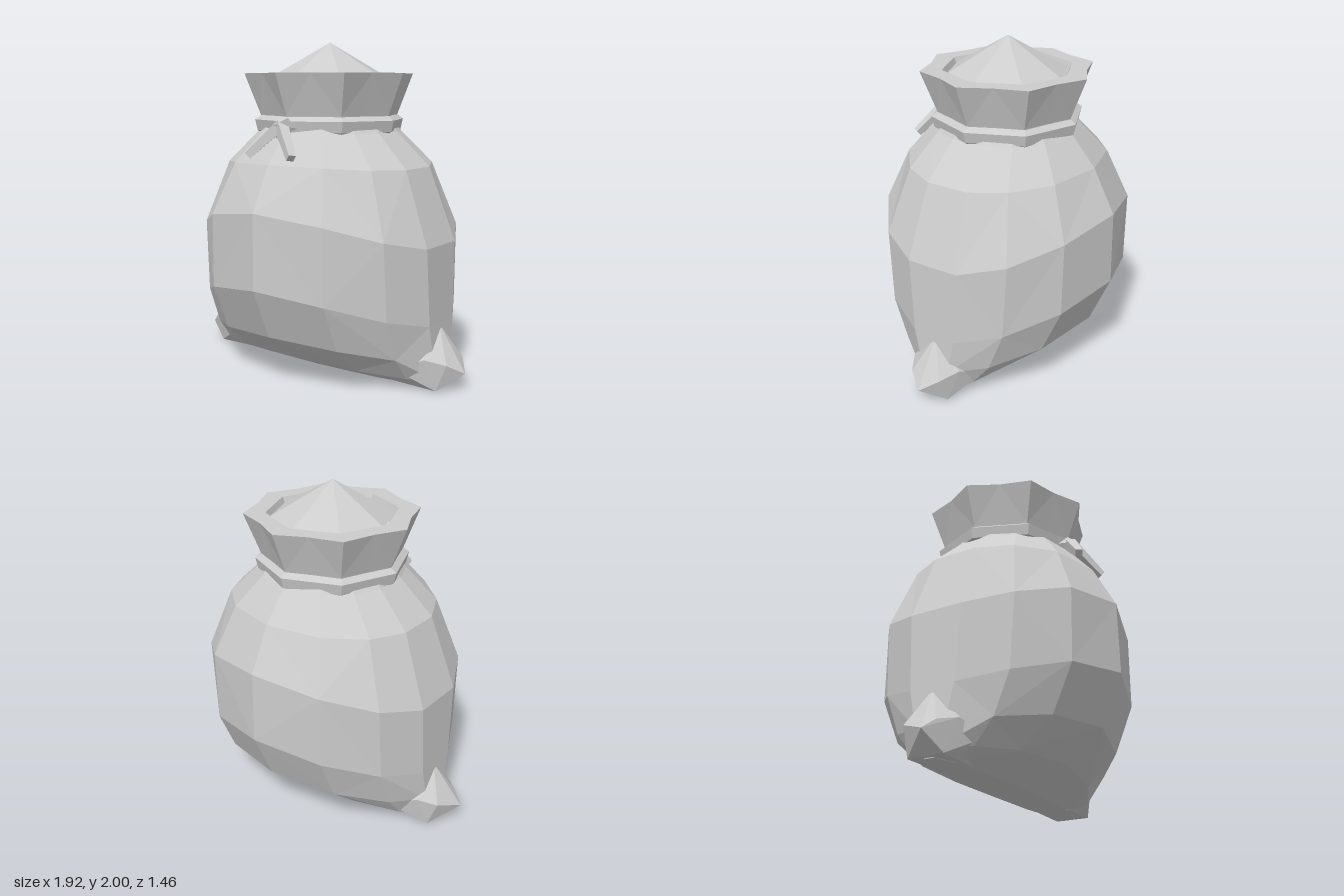
import * as THREE from 'three';
import { ConvexGeometry } from 'three/addons/geometries/ConvexGeometry.js';

const cloth = new THREE.MeshStandardMaterial({ color: 0xcccccc, flatShading: true });
cloth.name = 'grey cloth';

// Skin of triangles over stacked rings. sag lowers the sides, pinch above 1
// narrows the ring towards its sides, dent scales every second point.
function loft(rings, degrees) {
  const n = degrees.length;
  const point = ({ y, rx, rz = rx, sag = 0, pinch = 1, dent = 1 }, i) => {
    const a = THREE.MathUtils.degToRad(degrees[i % n]);
    const s = Math.sin(a), c = Math.cos(a);
    const k = i % 2 ? dent : 1;
    return [k * rx * s, y - sag * s * s, k * rz * Math.sign(c) * Math.abs(c) ** pinch];
  };
  const pos = [];
  for (let j = 0; j < rings.length - 1; j++) {
    for (let i = 0; i < n; i++) {
      const a = point(rings[j], i), b = point(rings[j], i + 1);
      const c = point(rings[j + 1], i + 1), d = point(rings[j + 1], i);
      // alternating diagonals give the faceted cloth look
      if ((i + j) % 2) pos.push(...a, ...b, ...c, ...a, ...c, ...d);
      else pos.push(...a, ...b, ...d, ...b, ...c, ...d);
    }
  }
  const g = new THREE.BufferGeometry();
  g.setAttribute('position', new THREE.Float32BufferAttribute(pos, 3));
  g.computeVertexNormals();
  return g;
}

const hull = points => new ConvexGeometry(points.map(p => new THREE.Vector3(...p)));
const around = n => Array.from({ length: n }, (_, i) => i * 360 / n);

export function createModel() {
  const group = new THREE.Group();
  const add = (name, geometry) => {
    const mesh = new THREE.Mesh(geometry, cloth);
    mesh.name = name;
    group.add(mesh);
    return mesh;
  };

  // Round belly that pinches into a ridge along x at the bottom
  const half = [0, 30, 55, 77, 103, 125, 150];
  add('sackBody', loft([
    { y: 0.005, rx: 0, rz: 0 },
    { y: 0.005, rx: 0.82, rz: 0.12 },
    { y: 0.12, rx: 0.83, rz: 0.37, sag: 0.07, pinch: 1.2 },
    { y: 0.3, rx: 0.825, rz: 0.6, sag: 0.13, pinch: 1.25 },
    { y: 0.6, rx: 0.82, rz: 0.73, sag: 0.22, pinch: 1.12 },
    { y: 1.04, rx: 0.81, rz: 0.725, sag: 0.21 },
    { y: 1.3, rx: 0.645, rz: 0.59, sag: 0.03 },
    { y: 1.47, rx: 0.435, rz: 0.445 },
    { y: 1.52, rx: 0.4, rz: 0.4 },
  ], [...half, ...half.map(d => d + 180)]));

  // Pinched bottom corners that run into the belly
  for (const s of [1, -1]) {
    const points = [[0.785, 0.38, 0], [0.96, 0.11, s > 0 ? 0 : 0.06]];
    for (const side of [1, -1]) {
      points.push(
        [0.89, 0.17, side * 0.1], [0.83, 0.01, side * 0.11],
        [0.78, 0.2, side * 0.165], [0.62, 0.13, side * 0.23], [0.55, 0.01, side * 0.1],
      );
    }
    add(s > 0 ? 'leftCorner' : 'rightCorner', hull(points.map(([x, y, z]) => [s * x, y, z])));
  }

  // Flared, slightly folded collar with a thick rim and an inner wall
  add('collar', loft([
    { y: 1.5, rx: 0.4, dent: 0.94 },
    { y: 1.57, rx: 0.425, dent: 0.92 },
    { y: 1.815, rx: 0.52, dent: 0.89 },
    { y: 1.815, rx: 0.39, dent: 0.93 },
    { y: 1.72, rx: 0.35, dent: 0.93 },
  ], around(16)));

  // Pointed filling inside the mouth
  add('filling', loft([{ y: 1.79, rx: 0.365 }, { y: 2, rx: 0 }], around(8)));

  // Tie around the neck
  add('tie', loft([
    { y: 1.46, rx: 0.42 }, { y: 1.475, rx: 0.445 }, { y: 1.54, rx: 0.46 }, { y: 1.575, rx: 0.41 },
  ], around(8)));

  // Knot and two loose tails at the front
  add('knot', hull([
    [-0.12, 1.48, 0.42], [0.08, 1.5, 0.42], [-0.03, 1.57, 0.44],
    [-0.04, 1.44, 0.46], [-0.03, 1.52, 0.5], [0.04, 1.56, 0.46],
  ]));
  const up = new THREE.Vector3(0, 1, 0);
  for (const [name, x, y] of [['rightTail', -0.165, 1.345], ['leftTail', 0.155, 1.345]]) {
    const start = new THREE.Vector3(-0.02, 1.52, 0.45);
    const end = new THREE.Vector3(x, y, 0.575);
    const dir = end.clone().sub(start);
    const tail = add(name, new THREE.CylinderGeometry(0.03, 0.045, dir.length(), 4));
    tail.position.copy(start).add(end).multiplyScalar(0.5);
    tail.quaternion.setFromUnitVectors(up, dir.normalize());
  }
  return group;
}
